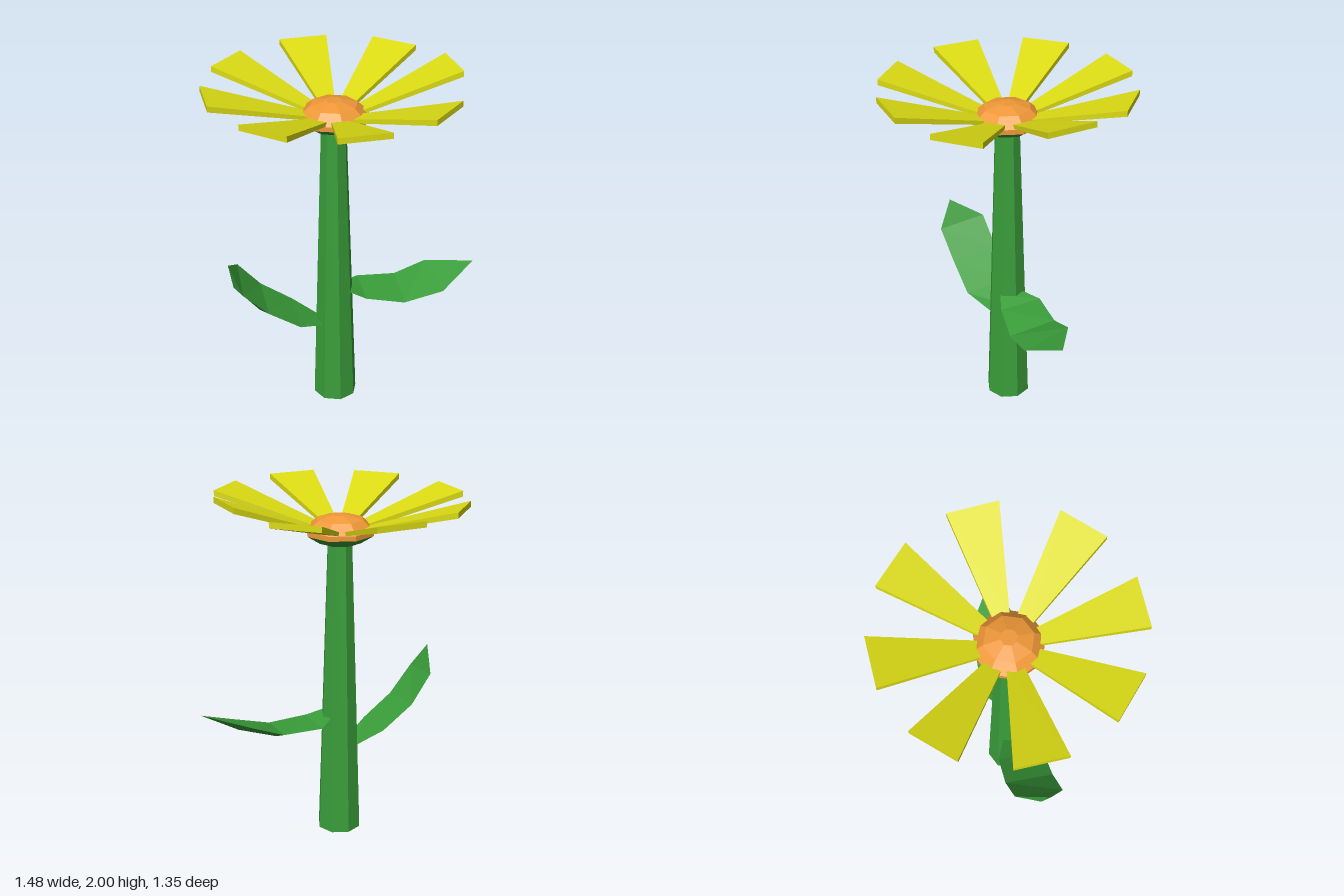
import * as THREE from 'three';

const material = (color) => new THREE.MeshStandardMaterial({ color, flatShading: true });
const GREEN = material(0x3a9e3a);
const ORANGE = material(0xf09838);
const YELLOW = material(0xdcdc14);
const STEM_X = -0.065;

function addMesh(parent, name, geometry, mat) {
  const mesh = new THREE.Mesh(geometry, mat);
  mesh.name = name;
  parent.add(mesh);
  return mesh;
}

// Faceted solid through a row of cross-sections, each a loop of [x, y, z] corners
function loft(sections) {
  const pos = [];
  const tri = (a, b, c) => pos.push(...a, ...b, ...c);
  const n = sections[0].length;
  for (let i = 0; i < sections.length - 1; i++) {
    const s = sections[i], t = sections[i + 1];
    for (let j = 0; j < n; j++) {
      const k = (j + 1) % n;
      tri(s[j], t[j], t[k]);
      tri(s[j], t[k], s[k]);
    }
  }
  const first = sections[0], last = sections[sections.length - 1];
  for (let j = 1; j < n - 1; j++) {
    tri(first[0], first[j], first[j + 1]);
    tri(last[0], last[j + 1], last[j]);
  }
  const g = new THREE.BufferGeometry();
  g.setAttribute('position', new THREE.Float32BufferAttribute(pos, 3));
  g.computeVertexNormals();
  return g;
}

// Eight-sided turned part from [radius, height] pairs
function turned(profile) {
  return new THREE.LatheGeometry(profile.map(([r, y]) => new THREE.Vector2(r, y)), 8);
}

// Tapered slab rising outward from the flower centre to a wide tip
function petalGeometry(tipX, tipZ, tipY) {
  const angle = Math.atan2(tipZ, tipX);
  const dx = Math.cos(angle), dz = Math.sin(angle);
  const section = (r, half, top, thick) => [[1, 0], [-1, 0], [-1, 1], [1, 1]].map(([s, low]) =>
    [dx * r - dz * half * s, top - thick * low, dz * r + dx * half * s]);
  return loft([
    section(0.13, 0.042, 1.8, 0.022),
    section(Math.hypot(tipX, tipZ), 0.136, tipY, 0.032),
  ]);
}

export function createModel() {
  const model = new THREE.Group();
  model.name = 'flower';

  // Stem and flower head share one axis
  const bloom = new THREE.Group();
  bloom.name = 'bloom';
  bloom.position.x = STEM_X;
  model.add(bloom);
  addMesh(bloom, 'stem', turned([[0, 0], [0.126, 0], [0.07, 1.71]]), GREEN);
  addMesh(bloom, 'sepalCup', turned([[0, 1.7], [0.07, 1.7], [0.12, 1.715], [0.19, 1.76]]), GREEN);
  addMesh(bloom, 'flowerCentre',
    turned([[0, 1.76], [0.19, 1.76], [0.19, 1.787], [0.13, 1.84], [0.045, 1.863], [0, 1.863]]), ORANGE);

  // Petals: tip x, tip z and tip height
  const petals = new THREE.Group();
  petals.name = 'petals';
  bloom.add(petals);
  [
    [0.665, -0.015, 2.0], [0.46, 0.5, 1.965], [-0.02, 0.67, 1.965], [-0.473, 0.478, 1.96],
    [-0.675, -0.015, 1.955], [-0.475, -0.483, 1.96], [0, -0.678, 1.965], [0.475, -0.475, 1.97],
  ].forEach(([x, z, y], i) => addMesh(petals, `petal${i + 1}`, petalGeometry(x, z, y), YELLOW));

  // Leaves: each section is two rim corners and a keel, closing to a point
  const leftTip = [0.735, 0.81, 0.085];
  addMesh(model, 'leftLeaf', loft([
    [[0, 0.715, 0.08], [0.02, 0.71, -0.06], [0.01, 0.7, 0.01]],
    [[0.09, 0.68, 0.12], [0.1, 0.69, -0.12], [0.1, 0.645, 0]],
    [[0.3, 0.65, 0.17], [0.32, 0.685, -0.095], [0.31, 0.62, 0.04]],
    [[0.52, 0.705, 0.195], [0.5, 0.755, -0.08], [0.52, 0.685, 0.08]],
    [leftTip, leftTip, leftTip],
  ]), GREEN);

  const rightTip = [-0.68, 1.0, 0.08];
  addMesh(model, 'rightLeaf', loft([
    [[-0.15, 0.51, -0.05], [-0.15, 0.51, 0.07], [-0.15, 0.5, 0.01]],
    [[-0.29, 0.6, -0.115], [-0.3, 0.575, 0.15], [-0.33, 0.555, 0.02]],
    [[-0.47, 0.73, -0.12], [-0.48, 0.7, 0.155], [-0.51, 0.655, 0.03]],
    [[-0.6, 0.89, -0.1], [-0.62, 0.85, 0.17], [-0.65, 0.83, 0.04]],
    [rightTip, rightTip, rightTip],
  ]), GREEN);

  return model;
}
